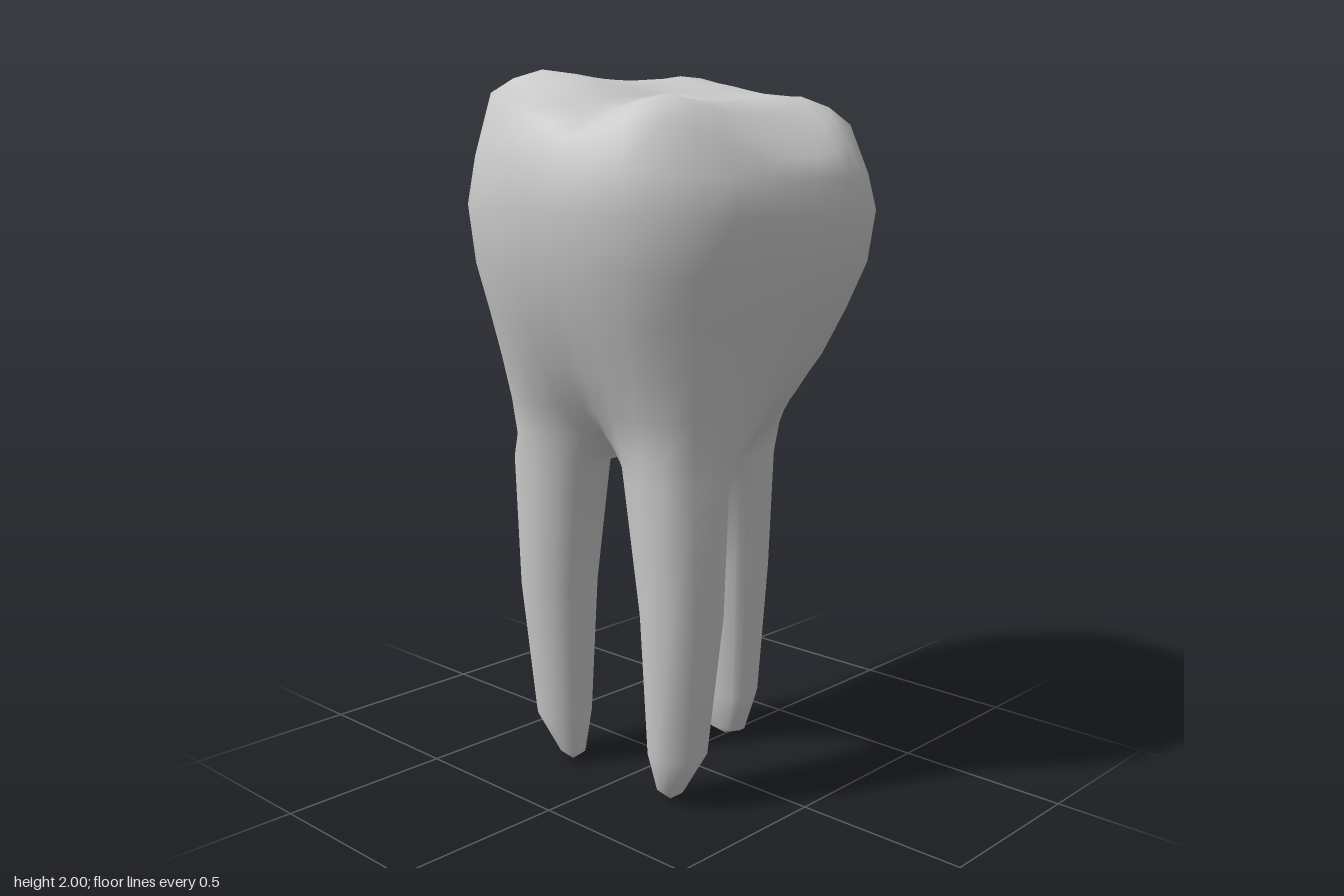
import * as THREE from 'three';

const SEG = 36;

// Radius of a superellipse at an angle measured from +z towards +x
function superRadius(t, a, b, n) {
  return Math.pow(Math.pow(Math.abs(Math.sin(t)) / a, n) + Math.pow(Math.abs(Math.cos(t)) / b, n), -1 / n);
}

// Neck outline: two lobes at the front, one at the back (radius every 15 degrees)
const neck = new THREE.SplineCurve(
  [0.28, 0.335, 0.412, 0.45, 0.415, 0.345, 0.285, 0.25, 0.24, 0.262, 0.31, 0.37, 0.387]
    .map((r, i) => new THREE.Vector2(i, r)));
const neckRadius = (t) => neck.getPoint((t > Math.PI ? 2 * Math.PI - t : t) / Math.PI).y;

// Chewing surface height: high ridge on one side, lower shoulder on the other
const ridgePoints = new THREE.SplineCurve([
  [-0.46, 1.86], [-0.36, 1.95], [-0.23, 2.0], [-0.05, 1.975], [0.1, 1.945], [0.27, 1.92], [0.39, 1.83], [0.48, 1.76],
].map((p) => new THREE.Vector2(...p))).getPoints(70);
function topHeight(x, z) {
  let k = ridgePoints.findIndex((p) => p.x >= x);
  if (k < 0) k = ridgePoints.length - 1;
  k = Math.max(k, 1);
  const p = ridgePoints[k - 1], q = ridgePoints[k];
  const y = p.y + (q.y - p.y) * THREE.MathUtils.clamp((x - p.x) / (q.x - p.x), 0, 1);
  const d = Math.abs(z);
  const drop = d < 0.28 ? 0.02 * (1 - (d / 0.28) ** 2) : 0.1 * ((d - 0.28) / 0.2) ** 1.5;
  const groove = 0.04 * Math.exp(-(((x - 0.1) / 0.09) ** 2)) * THREE.MathUtils.clamp(z / 0.3, 0, 1);
  return y - drop - groove;
}

// One continuous skin: shared vertices keep crown and roots smoothly joined
function createSkin() {
  const pos = [], idx = [];
  const vertex = (x, y, z) => pos.push(x, y, z) / 3 - 1;
  const point = (i) => pos.slice(i * 3, i * 3 + 3);

  // Strip of faces between two closed loops of equal length
  function band(lower, upper) {
    lower.forEach((a, i) => {
      const k = (i + 1) % lower.length;
      idx.push(a, lower[k], upper[k], a, upper[k], upper[i]);
    });
  }
  // Fan closing a loop to one point
  function cap(loop, tip, up) {
    loop.forEach((a, i) => {
      const b = loop[(i + 1) % loop.length];
      idx.push(tip, ...(up ? [a, b] : [b, a]));
    });
  }
  function crownRing(radius, height) {
    return Array.from({ length: SEG }, (_, i) => {
      const t = (i / SEG) * Math.PI * 2, r = radius(t);
      const x = Math.sin(t) * r, z = Math.cos(t) * r;
      return vertex(x, height(x, z, t), z);
    });
  }

  // Neck, slightly arched at the front between the roots
  const neckRing = crownRing(neckRadius, (x, z, t) => 0.99 + 0.035 * Math.max(0, Math.cos(t)) ** 6);

  // Crown walls: height, half width, half depth, share of the neck outline, tilt
  let ring = neckRing;
  const addRing = (next) => { band(ring, next); ring = next; };
  for (const [y, a, b, w, tilt] of [
    [1.1, 0.43, 0.465, 0.62, 0],
    [1.22, 0.445, 0.485, 0.3, 0],
    [1.35, 0.47, 0.505, 0.12, 0],
    [1.48, 0.503, 0.523, 0.02, 0],
    [1.64, 0.515, 0.54, 0, 0.04],
    [1.77, 0.492, 0.52, 0, 0.12],
  ]) {
    addRing(crownRing(
      (t) => THREE.MathUtils.lerp(superRadius(t, a, b, 2.5), neckRadius(t), w),
      (x) => y - tilt * Math.max(0, x)));
  }
  // Chewing surface
  for (const s of [0.89, 0.78, 0.64, 0.48, 0.32, 0.16]) {
    addRing(crownRing((t) => s * superRadius(t, 0.505, 0.535, 2.5), topHeight));
  }
  cap(ring, vertex(0, topHeight(0, 0), 0), true);

  // Arches from three neck points to the middle of the fork
  const fork = vertex(0, 0.945, 0);
  const splits = [0, 10, 26];
  const arches = splits.map((s) => [0.25, 0.5, 0.75].map((f) => {
    const [x, y, z] = point(neckRing[s]);
    return vertex(x * (1 - f), THREE.MathUtils.lerp(y, 0.945, Math.sqrt(f)), z * (1 - f));
  }));

  // Root below one sector of the neck; sections: height, x range, z range
  function root(sector, sections, tip) {
    const next = (sector + 1) % 3;
    const loop = [];
    for (let i = splits[sector]; i <= (splits[next] || SEG); i++) loop.push(neckRing[i % SEG]);
    loop.push(...arches[next], fork, ...[...arches[sector]].reverse());
    const [, ax0, ax1, az0, az1] = sections[0];
    const angles = loop.map((i) => {
      const [x, , z] = point(i);
      return Math.atan2(x - (ax0 + ax1) / 2, z - (az0 + az1) / 2);
    });
    let upper = loop;
    for (const [y, x0, x1, z0, z1] of sections) {
      const lower = angles.map((t) => {
        const r = superRadius(t, (x1 - x0) / 2, (z1 - z0) / 2, 2.3);
        return vertex((x0 + x1) / 2 + Math.sin(t) * r, y, (z0 + z1) / 2 + Math.cos(t) * r);
      });
      band(lower, upper);
      upper = lower;
    }
    cap(upper, vertex(...tip), false);
  }

  // Pair of front roots
  for (const side of [1, -1]) {
    const sections = [
      [0.92, 0.092, 0.362, 0.085, 0.357],
      [0.55, 0.14, 0.355, 0.11, 0.332],
      [0.15, 0.15, 0.313, 0.145, 0.3],
      [0.03, 0.16, 0.243, 0.185, 0.252],
    ].map(([y, a, b, z0, z1]) => {
      const x = [a * side - 0.007, b * side - 0.007];
      return [y, Math.min(...x), Math.max(...x), z0, z1];
    });
    root(side > 0 ? 0 : 2, sections, [0.2 * side - 0.007, 0, 0.217]);
  }
  // Single back root
  root(1, [
    [0.9, -0.145, 0.125, -0.385, -0.1],
    [0.55, -0.14, 0.12, -0.355, -0.135],
    [0.15, -0.12, 0.1, -0.322, -0.17],
    [0.03, -0.08, 0.065, -0.28, -0.2],
  ], [-0.008, 0, -0.24]);

  const geo = new THREE.BufferGeometry();
  geo.setAttribute('position', new THREE.Float32BufferAttribute(pos, 3));
  geo.setIndex(idx);
  geo.computeVertexNormals();
  return geo;
}

export function createModel() {
  const model = new THREE.Group();
  model.name = 'tooth';
  const body = new THREE.Mesh(createSkin(), new THREE.MeshStandardMaterial({ color: 0xcccccc }));
  body.name = 'crownAndRoots';
  model.add(body);
  return model;
}
